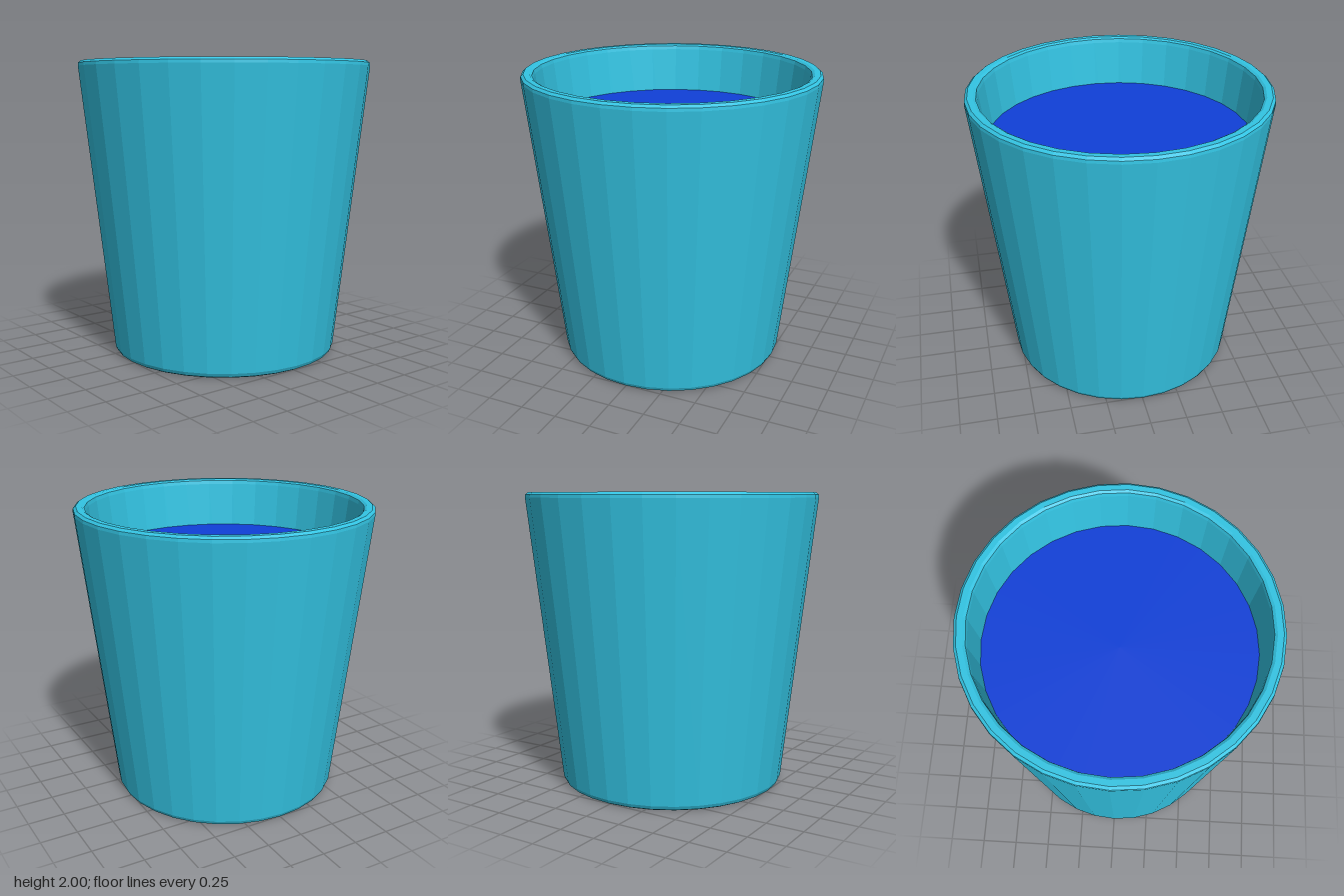
import * as THREE from 'three';

const SIDES = 32;

export function createModel() {
  const group = new THREE.Group();

  // Cup: one closed profile, up the outside, over the rounded rim, down to the inner floor
  const profile = [
    [0, 0], [0.745, 0], [0.765, 0.01], [0.777, 0.035],
    [0.995, 1.965], [0.993, 1.985], [0.975, 2],
    [0.937, 2], [0.92, 1.99], [0.914, 1.965],
    [0.705, 0.09], [0.69, 0.08], [0, 0.08],
  ].map(([r, y]) => new THREE.Vector2(r, y));
  const cup = new THREE.Mesh(
    new THREE.LatheGeometry(profile, SIDES),
    new THREE.MeshStandardMaterial({ color: 0x33c4e3, flatShading: true })
  );
  cup.name = 'cup';
  group.add(cup);

  // Liquid surface, meeting the inner wall
  const liquid = new THREE.Mesh(
    new THREE.CircleGeometry(0.881, SIDES).rotateX(-Math.PI / 2),
    new THREE.MeshStandardMaterial({ color: 0x1040d8, side: THREE.DoubleSide })
  );
  liquid.name = 'liquid';
  liquid.position.y = 1.66;
  group.add(liquid);

  return group;
}
